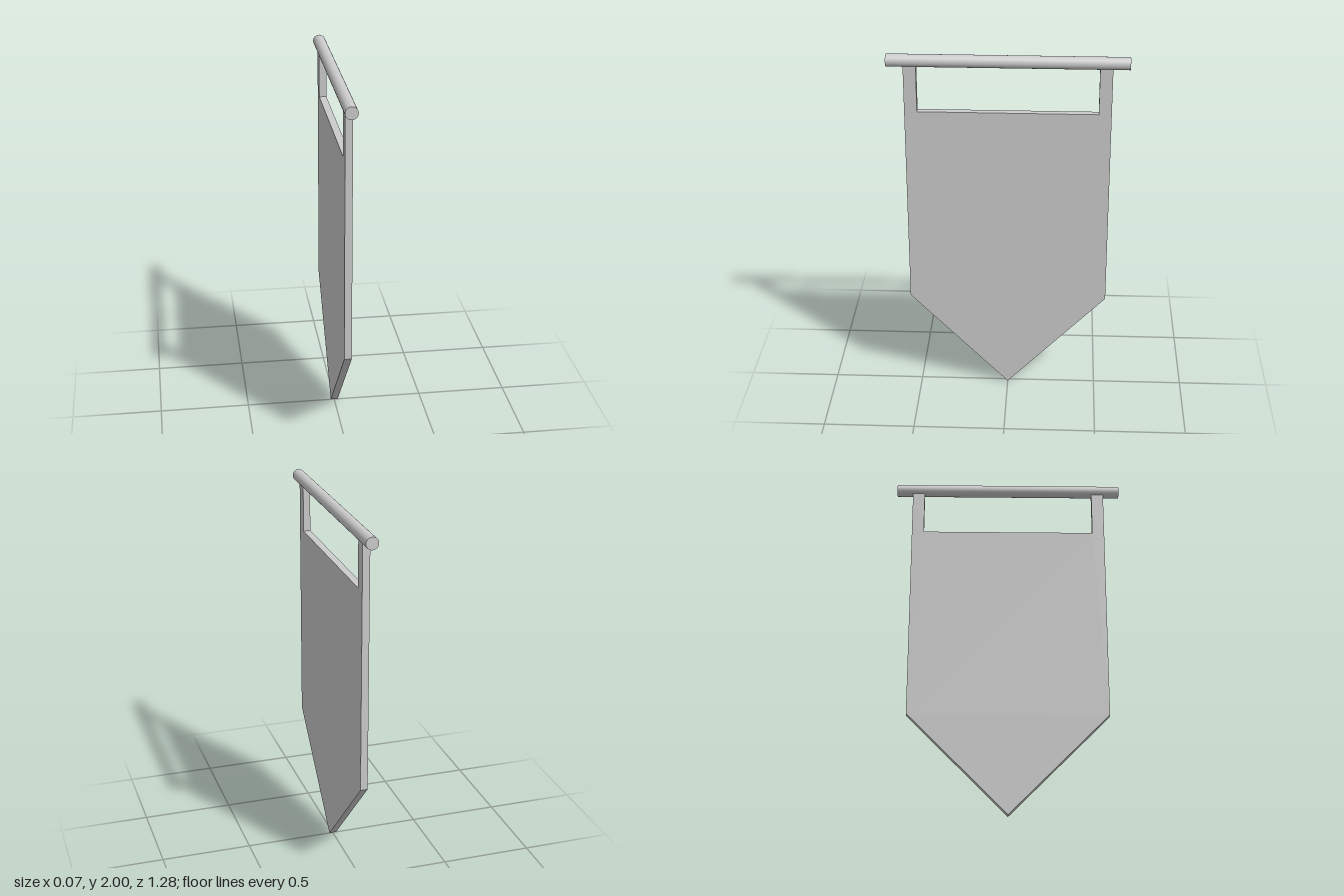
import * as THREE from 'three';

export function createModel() {
  const group = new THREE.Group();
  const material = new THREE.MeshStandardMaterial({ color: 0xcccccc });

  // Horizontal rod running front to back
  const radius = 0.034;
  const rodGeometry = new THREE.CylinderGeometry(radius, radius, 1.28, 32);
  rodGeometry.rotateX(Math.PI / 2);
  const rod = new THREE.Mesh(rodGeometry, material);
  rod.name = 'rod';
  rod.position.y = 2 - radius;
  group.add(rod);

  // Pointed banner with two hanging straps, one outline drawn as (z, y)
  const half = 0.55, inner = 0.482, strapTop = 1.95, clothTop = 1.685, shoulder = 0.565;
  const outline = new THREE.Shape([
    [0, 0], [half, shoulder], [half, strapTop], [inner, strapTop], [inner, clothTop],
    [-inner, clothTop], [-inner, strapTop], [-half, strapTop], [-half, shoulder],
  ].map(([z, y]) => new THREE.Vector2(z, y)));
  const thickness = 0.04;
  const bannerGeometry = new THREE.ExtrudeGeometry(outline, { depth: thickness, bevelEnabled: false });
  bannerGeometry.translate(0, 0, -thickness / 2);
  bannerGeometry.rotateY(-Math.PI / 2);
  const banner = new THREE.Mesh(bannerGeometry, material);
  banner.name = 'bannerWithStraps';
  group.add(banner);

  return group;
}
